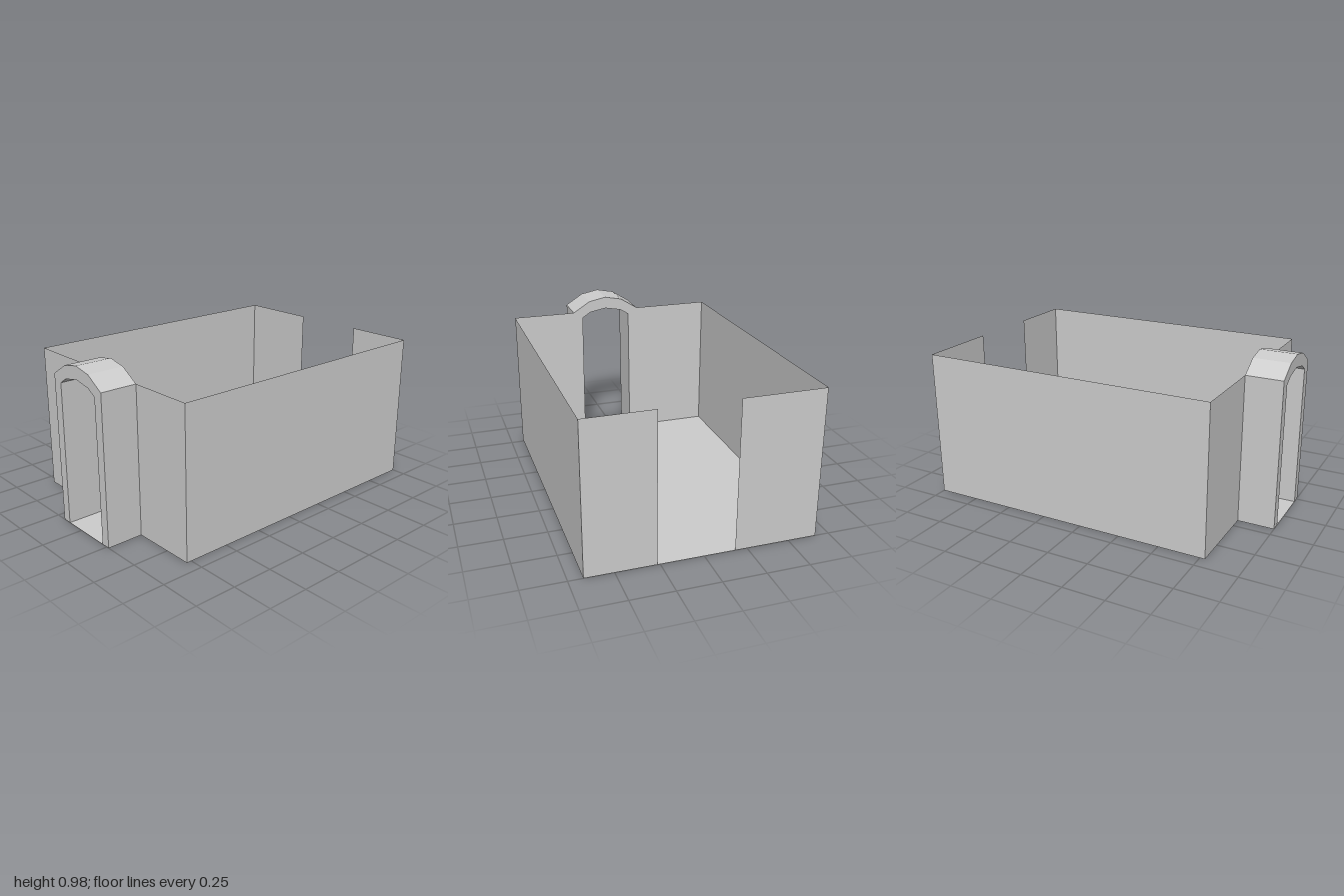
import * as THREE from 'three';

const material = new THREE.MeshStandardMaterial({ color: 0xcccccc, flatShading: true, side: THREE.DoubleSide });

const X0 = -1, XW = -0.78, X1 = 1; // porch end, doorway wall, open end wall
const ZW = 0.667, H = 0.89;        // half depth and wall height
const MID = 0.0435, OUTER = 0.2235, INNER = 0.167; // doorway centre and half widths

// Flat-sided sheet swept along a straight vector from a line of points
function sweep(name, points, vector) {
  const v = new THREE.Vector3(...vector);
  const verts = [];
  for (let i = 0; i < points.length - 1; i++) {
    const a = new THREE.Vector3(...points[i]);
    const b = new THREE.Vector3(...points[i + 1]);
    const c = b.clone().add(v), d = a.clone().add(v);
    for (const p of [a, b, c, a, c, d]) verts.push(p.x, p.y, p.z);
  }
  const g = new THREE.BufferGeometry();
  g.setAttribute('position', new THREE.Float32BufferAttribute(verts, 3));
  g.computeVertexNormals();
  const mesh = new THREE.Mesh(g, material);
  mesh.name = name;
  return mesh;
}

// Full symmetric arch line from its half: [offset from the centre, height]
function archLine(half) {
  const left = half.map(([w, y]) => [MID - w, y]);
  const right = half.slice(0, -1).reverse().map(([w, y]) => [MID + w, y]);
  return [...left, ...right];
}

export function createModel() {
  const group = new THREE.Group();
  group.name = 'roomWithArch';

  // Thin walls, each wrapping round to the openings in both ends
  const zf = MID + OUTER, zb = MID - OUTER;
  group.add(sweep('frontWall', [[XW, 0, zf], [XW, 0, ZW], [X1, 0, ZW], [X1, 0, zf]], [0, H, 0]));
  group.add(sweep('backWall', [[X1, 0, zb], [X1, 0, -ZW], [XW, 0, -ZW], [XW, 0, zb]], [0, H, 0]));

  // Floor and its tongue through the doorway
  group.add(sweep('floor', [[XW, 0, -ZW], [XW, 0, ZW]], [X1 - XW, 0, 0]));
  group.add(sweep('doorwayFloor', [[X0, 0, MID - INNER], [X0, 0, MID + INNER]], [XW - X0, 0, 0]));

  // Arched doorway: hollow shell, open underneath
  const arch = new THREE.Group();
  arch.name = 'archedDoorway';
  const outer = archLine([[OUTER, 0], [OUTER, H], [0.112, 0.96], [0, 0.982]]);
  const inner = archLine([[INNER, 0], [0.162, 0.85], [0.108, 0.885], [0, 0.905]]).reverse();
  const at = ([z, y]) => [X0, y, z];
  arch.add(sweep('archOutside', outer.map(at), [XW - X0, 0, 0]));
  arch.add(sweep('archInside', inner.map(at), [XW - X0, 0, 0]));

  // Arch faces at both ends
  const shape = new THREE.Shape([...outer, ...inner].map(([z, y]) => new THREE.Vector2(z, y)));
  for (const [name, x, turn] of [['archOuterFace', X0, 1], ['archRoomFace', XW, -1]]) {
    const g = new THREE.ShapeGeometry(shape).rotateY(-Math.PI / 2);
    if (turn < 0) { // face the room
      g.index.array.reverse();
      g.computeVertexNormals();
    }
    const face = new THREE.Mesh(g, material);
    face.name = name;
    face.position.x = x;
    arch.add(face);
  }
  group.add(arch);
  return group;
}
